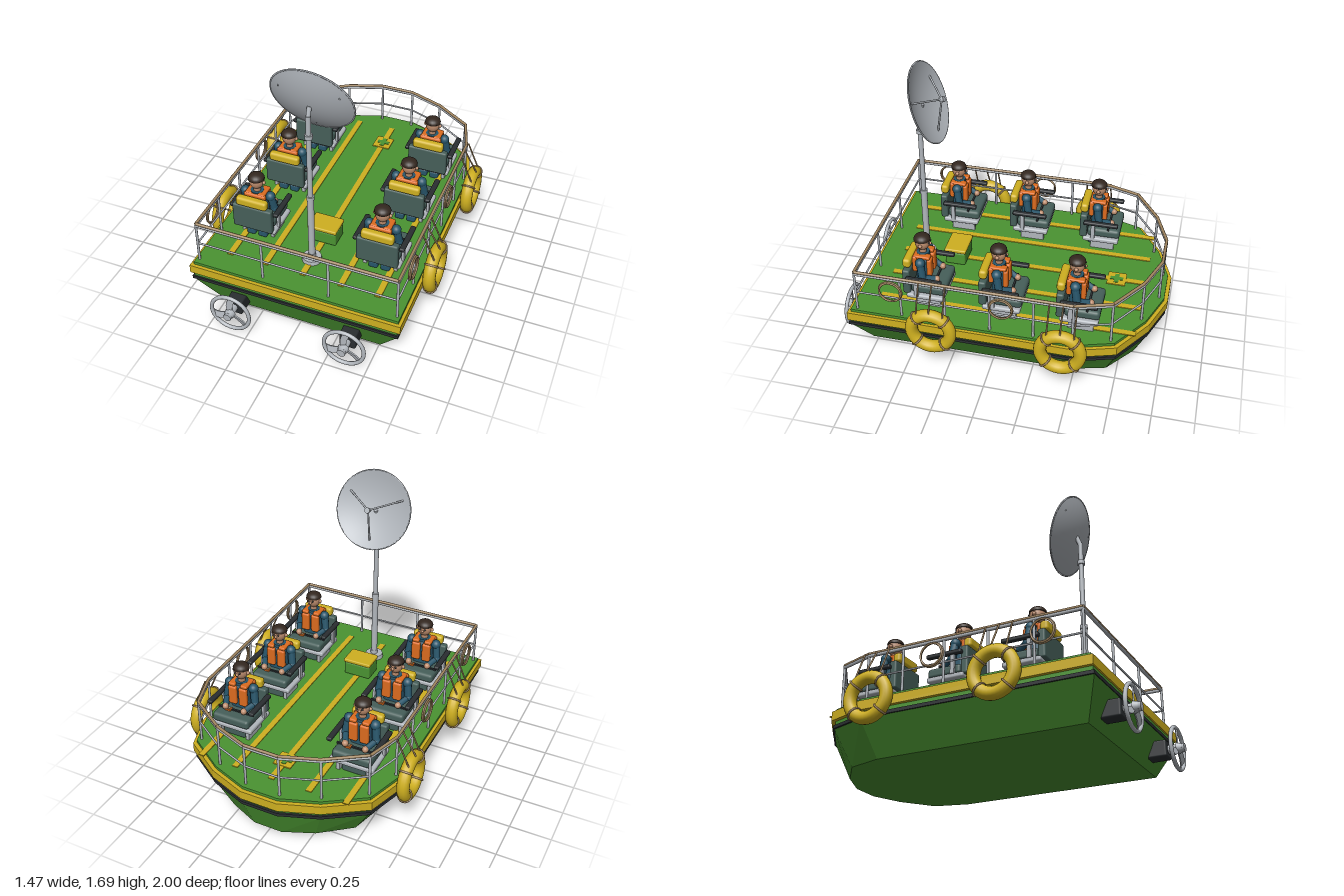
import * as THREE from 'three';
import { RoundedBoxGeometry } from 'three/addons/geometries/RoundedBoxGeometry.js';

const mat = (name, color) => Object.assign(new THREE.MeshStandardMaterial({ color }), { name });
const M = {
  green: mat('hull green', 0x4b9432), yellow: mat('safety yellow', 0xcfb020),
  teal: mat('seat teal', 0x465f5a), black: mat('rubber black', 0x2a2e31),
  grey: mat('metal grey', 0xb2b7bd), rope: mat('rope tan', 0xa38761),
  orange: mat('vest orange', 0xdd6c1f), blue: mat('uniform blue', 0x28566b),
  skin: mat('skin', 0xbb8b6c), hair: mat('hair', 0x33271f),
};

function add(parent, name, geo, material, pos = [0, 0, 0], rot = [0, 0, 0]) {
  const m = new THREE.Mesh(geo, material);
  m.name = name;
  m.position.set(...pos);
  m.rotation.set(...rot);
  parent.add(m);
  return m;
}
function group(parent, name, pos = [0, 0, 0]) {
  const g = new THREE.Group();
  g.name = name;
  g.position.set(...pos);
  parent.add(g);
  return g;
}
const box = (w, h, d) => new THREE.BoxGeometry(w, h, d);
const rbox = (w, h, d, r = 0.012) => new RoundedBoxGeometry(w, h, d, 2, r);
const cyl = (r, h, r2 = r, n = 16) => new THREE.CylinderGeometry(r2, r, h, n);
const ball = (r) => new THREE.SphereGeometry(r, 16, 12);

// Round bar between two points
function bar(parent, name, a, b, r, material) {
  const A = new THREE.Vector3(...a), B = new THREE.Vector3(...b), d = B.clone().sub(A);
  const m = add(parent, name, cyl(r, d.length(), r, 8), material);
  m.position.copy(A).lerp(B, 0.5);
  m.quaternion.setFromUnitVectors(new THREE.Vector3(0, 1, 0), d.normalize());
}

// Boat plan: half width, stern z, bow length
function outline(w, stern, bow) {
  const half = [[w, stern], [w, -0.53 * bow], [0.89 * w, -0.757 * bow], [0.53 * w, -0.915 * bow], [0.175 * w, -bow]];
  return [...half, ...half.map(([x, z]) => [-x, z]).reverse()];
}

// Faceted slab between two plans
function slab(lower, y0, upper, y1) {
  const p = [], n = lower.length;
  const lo = (i) => [lower[i % n][0], y0, lower[i % n][1]];
  const hi = (i) => [upper[i % n][0], y1, upper[i % n][1]];
  for (let i = 0; i < n; i++) {
    p.push(...lo(i), ...lo(i + 1), ...hi(i + 1), ...lo(i), ...hi(i + 1), ...hi(i));
    if (i > 0 && i < n - 1) p.push(...hi(0), ...hi(i), ...hi(i + 1), ...lo(0), ...lo(i + 1), ...lo(i));
  }
  const g = new THREE.BufferGeometry();
  g.setAttribute('position', new THREE.Float32BufferAttribute(p, 3));
  g.computeVertexNormals();
  return g;
}

function buildHull(root) {
  const hull = group(root, 'hull');
  const band = (w, s, b, y0, y1) => slab(outline(w, s, b), y0, outline(w, s, b), y1);
  add(hull, 'lowerHull', slab(outline(0.515, 0.77, 0.91), 0.04, outline(0.64, 0.86, 0.985), 0.24), M.green);
  add(hull, 'rubRail', band(0.65, 0.864, 0.992, 0.24, 0.26), M.black);
  add(hull, 'upperHull', band(0.64, 0.855, 0.98, 0.26, 0.285), M.green);
  add(hull, 'gunwale', band(0.662, 0.865, 1, 0.285, 0.34), M.yellow);
  add(hull, 'deck', band(0.643, 0.845, 0.977, 0.34, 0.358), M.green);
  for (const x of [-0.47, -0.24, 0, 0.24, 0.47])
    add(hull, 'deckStripe', box(0.036, 0.006, 1.56), M.yellow, [x, 0.36, -0.07]);
  // Medical marking
  add(hull, 'medicalPlate', box(0.115, 0.006, 0.115), M.yellow, [0, 0.363, -0.67]);
  for (const [w, d] of [[0.08, 0.028], [0.028, 0.08]])
    add(hull, 'medicalCross', box(w, 0.004, d), M.green, [0, 0.367, -0.67]);
}

function buildRailing(root) {
  const rail = group(root, 'railing'), plan = outline(0.622, 0.808, 0.945);
  plan.forEach(([x, z], i) => {
    const [u, v] = plan[(i + 1) % plan.length];
    bar(rail, 'topRail', [x, 0.62, z], [u, 0.62, v], 0.01, M.grey);
    bar(rail, 'railRope', [x, 0.634, z], [u, 0.634, v], 0.009, M.rope);
    bar(rail, 'midRail', [x, 0.485, z], [u, 0.485, v], 0.006, M.grey);
    bar(rail, 'railPost', [x, 0.35, z], [x, 0.625, z], 0.008, M.grey);
  });
  for (const s of [-1, 1]) {
    for (const z of [0.53, 0.26, -0.01, -0.27])
      bar(rail, 'railPost', [s * 0.622, 0.35, z], [s * 0.622, 0.625, z], 0.008, M.grey);
    bar(rail, 'sternPost', [s * 0.207, 0.35, 0.808], [s * 0.207, 0.625, 0.808], 0.008, M.grey);
    // Coiled ropes hung on the rail
    for (const z of [0.585, -0.08])
      for (const k of [0, 1])
        add(rail, 'ropeCoil', new THREE.TorusGeometry(0.07 - k * 0.004, 0.006, 6, 28), M.rope,
          [s * (0.632 + k * 0.009), 0.538, z], [0, Math.PI / 2, 0]);
  }
}

function buildLifebuoy(root, s, z) {
  const g = group(root, 'lifebuoy', [s * 0.692, 0.335, z]);
  g.rotation.y = Math.PI / 2;
  add(g, 'buoyRing', new THREE.TorusGeometry(0.118, 0.038, 14, 36), M.yellow);
  for (let i = 0; i < 4; i++) {
    const p = group(g, 'buoyWrap');
    p.rotation.z = Math.PI / 4 + i * Math.PI / 2;
    add(p, 'wrapBand', new THREE.TorusGeometry(0.04, 0.006, 6, 18), M.rope, [0.118, 0, 0], [Math.PI / 2, 0, 0]);
  }
  for (const d of [-0.08, 0, 0.08])
    bar(root, 'buoyLine', [s * 0.715, d ? 0.44 : 0.485, z + d], [s * 0.63, 0.632, z + d], 0.005, M.rope);
}

function buildSeat(root, x, z) {
  const g = group(root, 'seat', [x, 0, z]);
  add(g, 'pedestal', rbox(0.15, 0.08, 0.12), M.teal, [0, 0.395, -0.03]);
  add(g, 'seatFrame', rbox(0.28, 0.032, 0.23), M.grey, [0, 0.44, -0.01]);
  for (const s of [-1, 1]) {
    add(g, 'frameFoot', box(0.022, 0.08, 0.15), M.grey, [s * 0.095, 0.39, -0.02]);
    add(g, 'armrest', rbox(0.032, 0.024, 0.22, 0.008), M.black, [s * 0.142, 0.573, -0.01]);
    add(g, 'armrestStrut', box(0.016, 0.12, 0.025), M.grey, [s * 0.137, 0.51, 0.04]);
  }
  add(g, 'cushion', rbox(0.245, 0.06, 0.21, 0.02), M.teal, [0, 0.485, -0.025]);
  add(g, 'backrest', rbox(0.255, 0.17, 0.045), M.teal, [0, 0.53, 0.105]);
  add(g, 'headPad', rbox(0.2, 0.06, 0.05, 0.018), M.yellow, [0, 0.645, 0.108]);
}

function buildCrew(root, x, z) {
  const g = group(root, 'crewMember', [x, 0, z]);
  add(g, 'torso', rbox(0.125, 0.18, 0.08, 0.025), M.blue, [0, 0.58, 0.025]);
  add(g, 'vestBack', rbox(0.14, 0.11, 0.03), M.orange, [0, 0.628, 0.066]);
  add(g, 'belt', box(0.24, 0.012, 0.012), M.black, [0, 0.518, -0.055]);
  add(g, 'buckle', box(0.035, 0.012, 0.03), M.orange, [0.045, 0.519, -0.06]);
  add(g, 'buckleTrim', box(0.02, 0.004, 0.016), M.rope, [0.045, 0.527, -0.06]);
  for (const s of [-1, 1]) {
    add(g, 'vestPanel', rbox(0.056, 0.125, 0.03), M.orange, [s * 0.035, 0.605, -0.02]);
    add(g, 'vestStrap', rbox(0.045, 0.022, 0.1, 0.008), M.orange, [s * 0.04, 0.676, 0.024]);
    add(g, 'shoulder', ball(0.03), M.blue, [s * 0.082, 0.655, 0.025]);
    bar(g, 'upperArm', [s * 0.085, 0.655, 0.025], [s * 0.097, 0.56, 0.01], 0.024, M.blue);
    add(g, 'elbow', ball(0.025), M.blue, [s * 0.097, 0.56, 0.01]);
    bar(g, 'forearm', [s * 0.097, 0.56, 0.01], [s * 0.065, 0.54, -0.06], 0.019, M.blue);
    add(g, 'hand', ball(0.02), M.skin, [s * 0.063, 0.54, -0.068]);
    add(g, 'leg', cyl(0.027, 0.12), M.blue, [s * 0.038, 0.43, 0.05]);
    add(g, 'boot', rbox(0.058, 0.05, 0.08), M.blue, [s * 0.038, 0.384, 0.04]);
    add(g, 'ear', ball(0.012), M.skin, [s * 0.046, 0.752, 0.03]);
    add(g, 'eye', ball(0.006), M.black, [s * 0.016, 0.763, -0.014]);
  }
  add(g, 'collar', cyl(0.04, 0.02), M.blue, [0, 0.678, 0.03]);
  add(g, 'neck', cyl(0.022, 0.05), M.skin, [0, 0.7, 0.03]);
  add(g, 'head', ball(0.046), M.skin, [0, 0.757, 0.03]).scale.y = 1.15;
  add(g, 'nose', ball(0.009), M.skin, [0, 0.752, -0.018]);
  add(g, 'hairCap', new THREE.SphereGeometry(0.05, 18, 8, 0, Math.PI * 2, 0, Math.PI / 2), M.hair, [0, 0.778, 0.032]).scale.y = 0.66;
  add(g, 'hairBase', cyl(0.05, 0.008), M.hair, [0, 0.777, 0.032]);
}

function buildMast(root) {
  const mast = group(root, 'mast', [0, 0, 0.562]);
  add(mast, 'mastFlange', cyl(0.06, 0.026, 0.056, 24), M.grey, [0, 0.371, 0]);
  add(mast, 'lowerMast', cyl(0.02, 0.46), M.grey, [0, 0.6, 0]);
  add(mast, 'upperMast', cyl(0.015, 0.59), M.grey, [0, 1.105, 0]);
  for (const y of [0.4, 0.835, 1.265]) add(mast, 'mastCollar', cyl(0.023, 0.025), M.grey, [0, y, 0]);

  // Dish opens along its local +y
  const dish = group(root, 'dish', [0, 1.45, 0.547]);
  dish.rotation.x = -1.216;
  const R = 0.243, curve = (r) => 0.05 * (r / R) ** 2, back = [], face = [];
  for (let i = 0; i <= 8; i++) {
    const r = R * i / 8;
    back.push(new THREE.Vector2(r, curve(r)));
    face.unshift(new THREE.Vector2(r, curve(r) + 0.006));
  }
  add(dish, 'dishBack', new THREE.LatheGeometry(back, 40), M.grey);
  add(dish, 'dishFace', new THREE.LatheGeometry(face, 40), M.grey);
  add(dish, 'dishRim', new THREE.TorusGeometry(R, 0.005, 6, 40), M.grey, [0, 0.052, 0], [Math.PI / 2, 0, 0]);
  for (const [x, z] of [[0.178, 0.09], [-0.178, 0.09], [0, -0.19]])
    bar(dish, 'feedStrut', [x, curve(0.2), z], [0, 0.137, 0], 0.006, M.grey);
  add(dish, 'feedHorn', cyl(0.014, 0.03, 0.018), M.grey, [0, 0.138, 0]);
  bar(root, 'dishBracket', [0, 1.39, 0.562], [0, 1.45, 0.54], 0.014, M.grey);
}

function buildPropeller(root, s) {
  const g = group(root, 'propeller', [s * 0.36, 0.143, 0]);
  add(g, 'driveHousing', rbox(0.1, 0.1, 0.13), M.black, [0, 0, 0.84]);
  add(g, 'shaft', cyl(0.024, 0.12), M.grey, [0, 0, 0.94], [Math.PI / 2, 0, 0]);
  add(g, 'hub', cyl(0.034, 0.03, 0.026), M.grey, [0, 0, 0.97], [Math.PI / 2, 0, 0]);
  add(g, 'hubCap', cyl(0.025, 0.03), M.grey, [0, 0, 0.985], [Math.PI / 2, 0, 0]);
  add(g, 'guardRing', new THREE.TorusGeometry(0.122, 0.012, 10, 40), M.grey, [0, 0, 0.955]);
  const blade = new THREE.Shape();
  blade.moveTo(-0.012, 0.015);
  blade.quadraticCurveTo(-0.035, 0.07, 0.0, 0.122);
  blade.lineTo(0.04, 0.112);
  blade.quadraticCurveTo(0.012, 0.07, 0.014, 0.015);
  const geo = new THREE.ExtrudeGeometry(blade, { depth: 0.008, bevelEnabled: false, curveSegments: 6 });
  geo.translate(0, 0, -0.004).rotateY(0.35);
  for (let i = 0; i < 3; i++)
    add(g, 'blade', geo, M.grey, [0, 0, 0.957], [0, 0, i * Math.PI * 2 / 3]);
}

export function createModel() {
  const root = new THREE.Group();
  root.name = 'rescueBoat';
  buildHull(root);
  buildRailing(root);
  buildMast(root);
  // Supply chest
  add(root, 'chestBody', rbox(0.18, 0.09, 0.13), M.green, [0, 0.405, 0.35]);
  add(root, 'chestLid', rbox(0.185, 0.025, 0.138, 0.008), M.yellow, [0, 0.462, 0.35]);
  for (const s of [-1, 1]) {
    buildPropeller(root, s);
    for (const z of [0.33, -0.443]) buildLifebuoy(root, s, z);
    for (const z of [0.42, -0.045, -0.508]) {
      buildSeat(root, s * 0.397, z);
      buildCrew(root, s * 0.397, z);
    }
  }
  return root;
}
